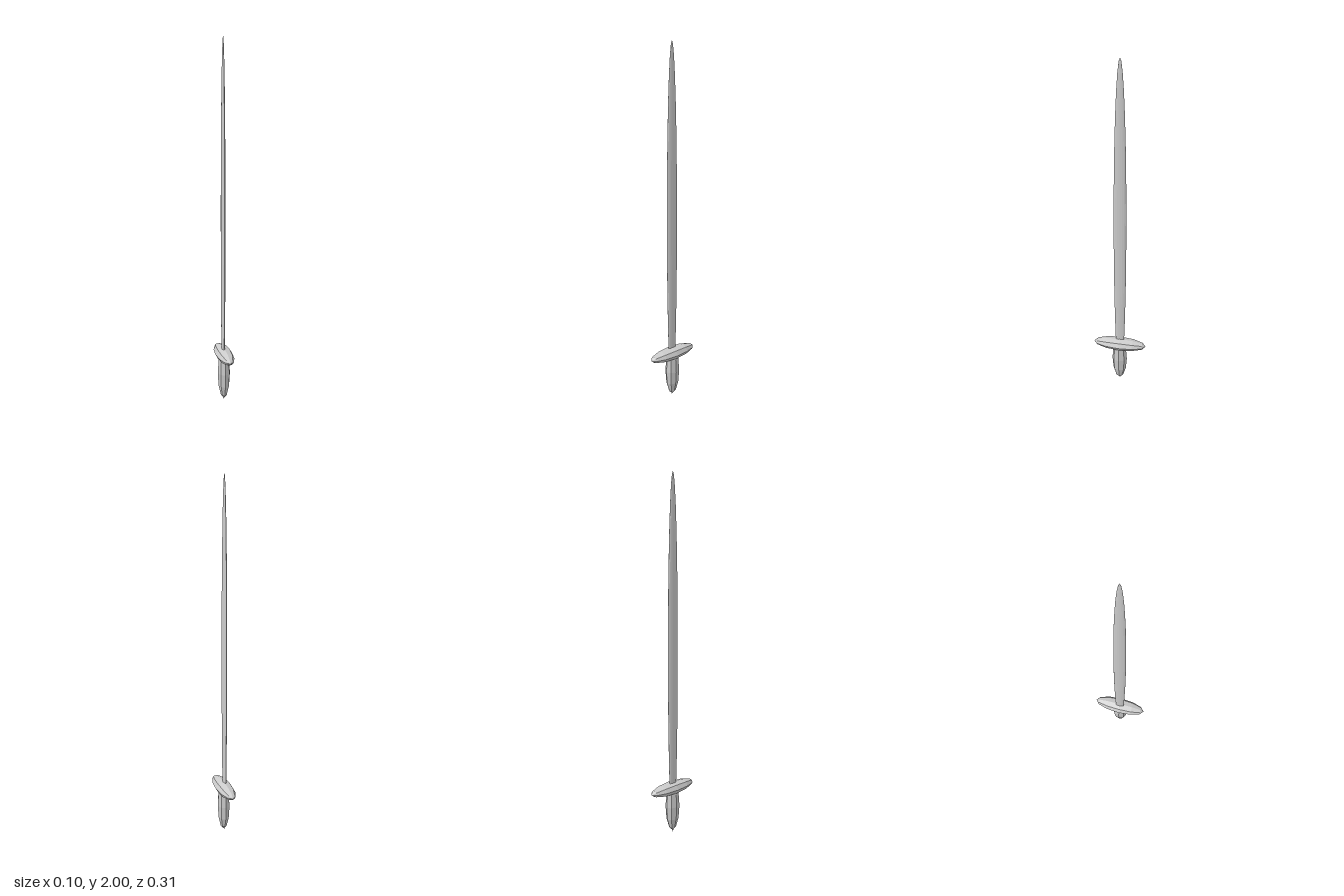
import * as THREE from 'three';

const material = new THREE.MeshStandardMaterial({ color: 0xcccccc, flatShading: true });

// Stretched low-poly sphere, with its poles along y or z
function ellipsoid(name, radii, center, sides, rings, polesAlongZ = false) {
  const geometry = new THREE.SphereGeometry(1, sides, rings);
  if (polesAlongZ) geometry.rotateX(Math.PI / 2);
  geometry.scale(...radii);
  geometry.translate(...center);
  const mesh = new THREE.Mesh(geometry, material);
  mesh.name = name;
  return mesh;
}

export function createModel() {
  const sword = new THREE.Group();
  sword.name = 'sword';
  sword.add(
    // Long thin blade, its tang running down through the grip
    ellipsoid('blade', [0.0105, 1, 0.035], [-0.004, 1, -0.001], 16, 16),
    // Faceted crossguard lying along z
    ellipsoid('guard', [0.048, 0.035, 0.155], [0, 0.27, -0.001], 8, 6, true),
    // Tapered grip, its top hidden in the guard
    ellipsoid('grip', [0.035, 0.15, 0.044], [0, 0.16, 0], 8, 6),
  );
  return sword;
}
